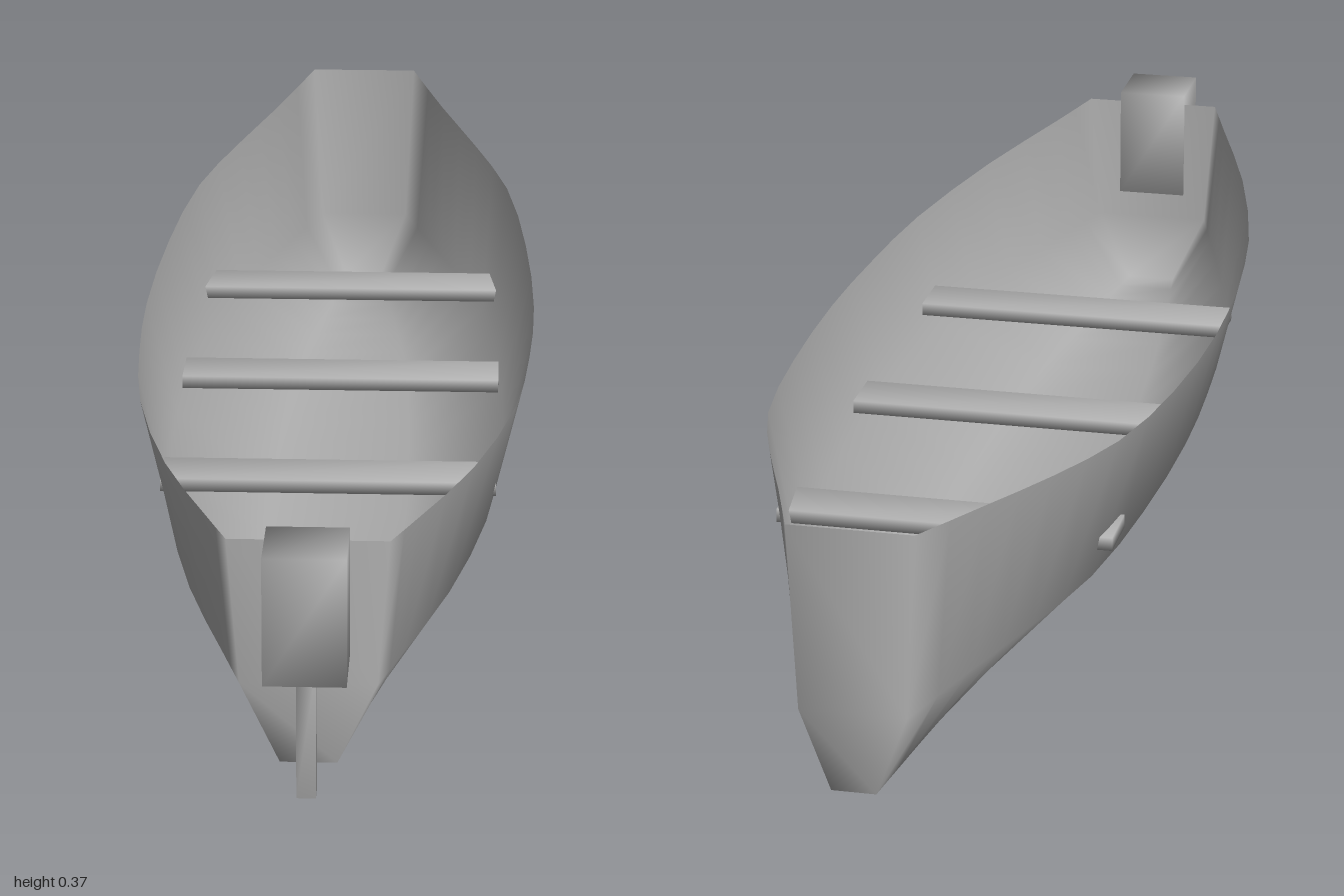
import * as THREE from 'three';
import { mergeVertices } from 'three/addons/utils/BufferGeometryUtils.js';

const grey = new THREE.MeshStandardMaterial({ color: 0xb0b0b0, side: THREE.DoubleSide });
grey.name = 'grey';

// Half beam at the rim, as (z, half width)
const beam = [
  [-1, 0.08], [-0.85, 0.13], [-0.7, 0.183], [-0.53, 0.233], [-0.3, 0.262], [-0.05, 0.274],
  [0.15, 0.268], [0.35, 0.25], [0.6, 0.197], [0.8, 0.133], [0.9, 0.1],
];

// Open thin shell lofted from hard-chine sections, closed at both ends
function hullGeometry() {
  const curve = new THREE.CatmullRomCurve3(beam.map(([z, w]) => new THREE.Vector3(w, 0, z)));
  const stations = curve.getPoints(20);
  const positions = [];
  const index = [];
  for (const { x: w, z } of stations) {
    const rim = 0.288 + 0.055 * (z - 0.2) ** 2;
    const section = [[-w, rim], [-0.85 * w, 0.125], [-0.355 * w, 0.02],
      [0.355 * w, 0.02], [0.85 * w, 0.125], [w, rim]];
    for (const [x, y] of section) positions.push(x, y, z);
  }
  const n = 6;
  const last = (stations.length - 1) * n;
  for (let j = 0; j < last; j += n) {
    for (let i = 0; i < n - 1; i++) {
      const a = j + i;
      index.push(a, a + 1, a + n, a + 1, a + n + 1, a + n);
    }
  }
  // Flat end panels, split into symmetric strips
  for (const [a, b, c, d] of [[0, 1, 4, 5], [1, 2, 3, 4]]) {
    index.push(d, c, b, d, b, a);
    index.push(last + a, last + b, last + c, last + a, last + c, last + d);
  }
  const geometry = new THREE.BufferGeometry();
  geometry.setAttribute('position', new THREE.Float32BufferAttribute(positions, 3));
  geometry.setIndex(index);
  geometry.computeVertexNormals();
  return geometry;
}

// Box with normals shared across its corners
function smoothBox(width, height, depth) {
  const box = new THREE.BoxGeometry(width, height, depth);
  box.deleteAttribute('normal');
  box.deleteAttribute('uv');
  const geometry = mergeVertices(box);
  geometry.computeVertexNormals();
  return geometry;
}

export function createModel() {
  const boat = new THREE.Group();
  boat.name = 'boat';
  const add = (name, geometry, x, y, z) => {
    const mesh = new THREE.Mesh(geometry, grey);
    mesh.name = name;
    mesh.position.set(x, y, z);
    boat.add(mesh);
  };

  add('hull', hullGeometry(), 0, 0, 0);

  // Thwarts, whose ends just pierce the sides
  const seat = smoothBox(0.45, 0.018, 0.08);
  [-0.49, -0.09, 0.315].forEach((z, i) => add(`seat${i + 1}`, seat, 0, 0.172, z));

  // Outboard motor
  add('motorHousing', smoothBox(0.102, 0.165, 0.105), 0, 0.2475, 0.9475);
  add('motorShaft', smoothBox(0.024, 0.17, 0.024), 0, 0.085, 0.95);

  return boat;
}
